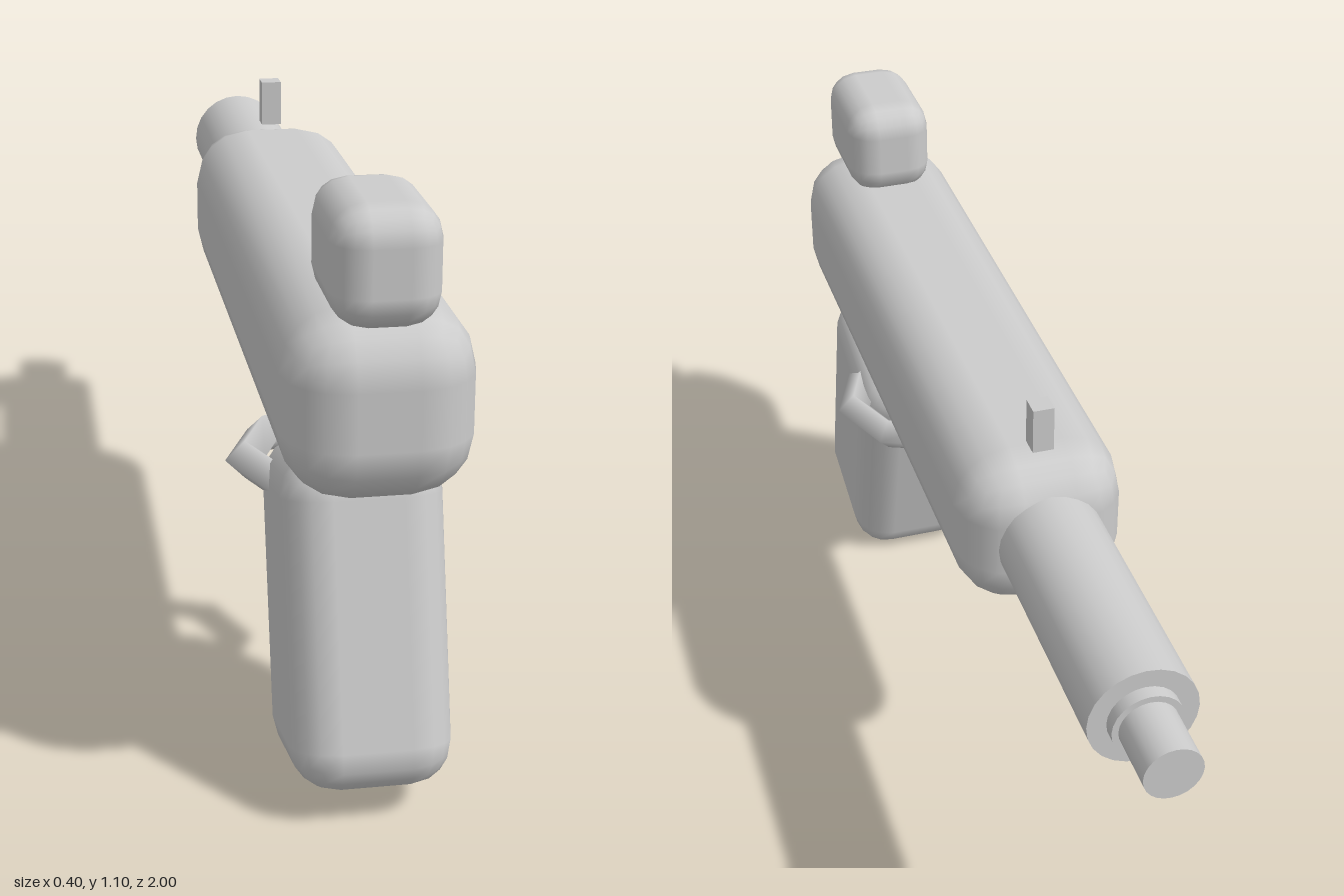
import * as THREE from 'three';
import { RoundedBoxGeometry } from 'three/addons/geometries/RoundedBoxGeometry.js';

export function createModel() {
  const model = new THREE.Group();
  model.name = 'toyPistol';
  const grey = new THREE.MeshStandardMaterial({ color: 0xcccccc });
  grey.name = 'light grey';

  const add = (name, geometry, x, y, z) => {
    const mesh = new THREE.Mesh(geometry, grey);
    mesh.name = name;
    mesh.position.set(x, y, z);
    model.add(mesh);
    return mesh;
  };

  // Soft-edged blocks: receiver, rear sight and raked grip
  add('body', new RoundedBoxGeometry(0.32, 0.32, 1.385, 2, 0.11), 0, 0.76, 0.307);
  add('rearSight', new RoundedBoxGeometry(0.18, 0.2, 0.27, 2, 0.06), 0, 1.0, 0.865);
  const grip = add('grip', new RoundedBoxGeometry(0.28, 0.585, 0.36, 2, 0.08), 0, 0.312, 0.727);
  grip.rotation.x = -Math.PI / 12;

  // Stepped barrel, each section running from zBack to zTip
  const section = (name, radius, zBack, zTip) => {
    const geometry = new THREE.CylinderGeometry(radius, radius, zBack - zTip, 24);
    geometry.rotateX(Math.PI / 2);
    add(name, geometry, 0, 0.763, (zBack + zTip) / 2);
  };
  section('barrel', 0.1, -0.25, -0.86);
  section('barrelCollar', 0.065, -0.84, -0.885);
  section('muzzle', 0.053, -0.86, -1.0);

  // Small square post at the front of the body
  add('frontSight', new THREE.BoxGeometry(0.04, 0.09, 0.04), 0, 0.975, -0.3);

  // Eight-sided ring lying flat, with its rear half sunk into the grip
  const guard = new THREE.TorusGeometry(0.164, 0.036, 4, 8);
  guard.rotateX(Math.PI / 2);
  add('triggerGuard', guard, 0, 0.507, 0.513);

  // Trigger blade
  add('trigger', new THREE.BoxGeometry(0.03, 0.14, 0.07), 0, 0.51, 0.48);

  return model;
}
